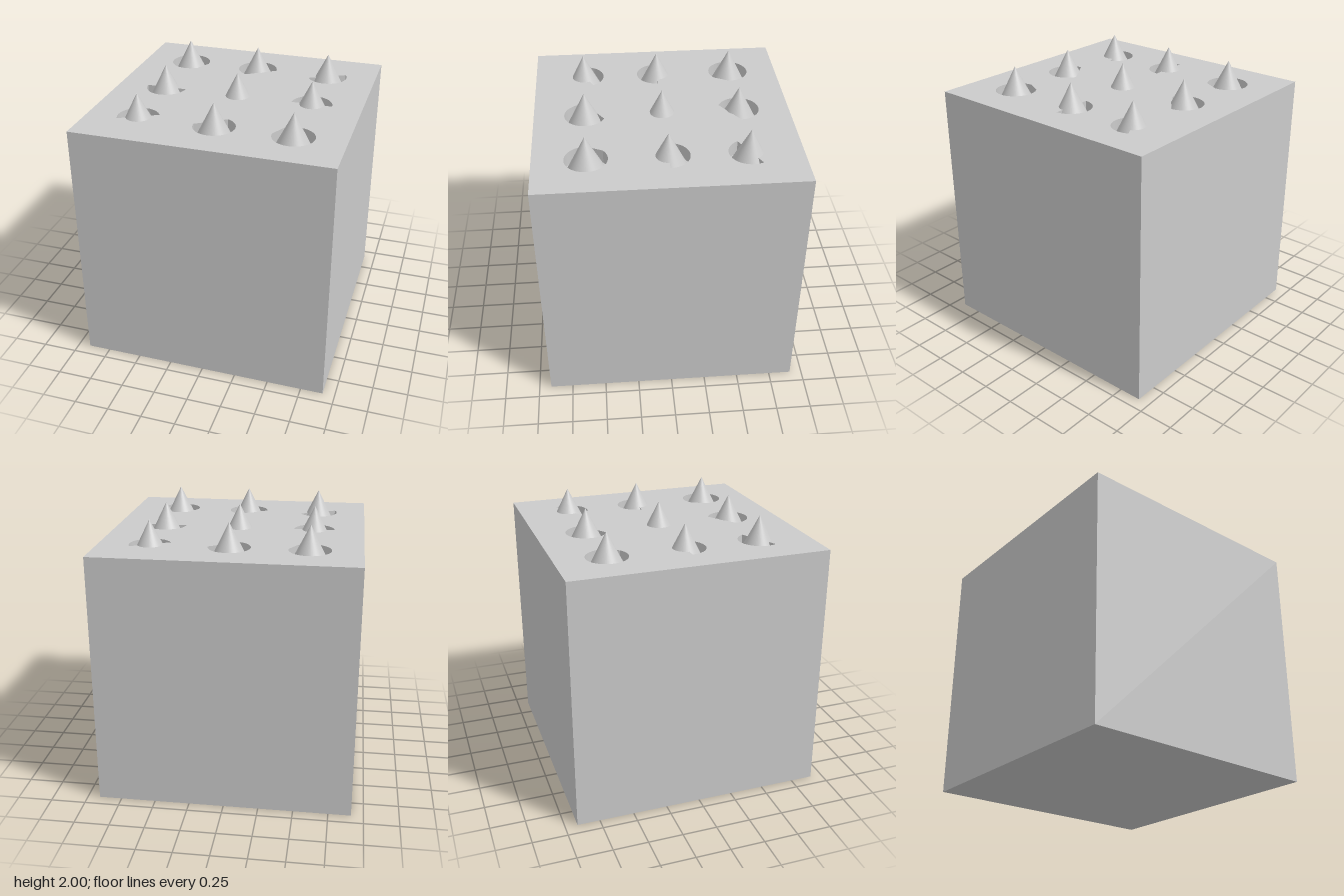
import * as THREE from 'three';

const HALF = 0.9125, TOP = 1.825, FLOOR = 1.726; // block half width, top face, pocket floor
const PITCH = 0.55, POCKET_R = 0.147, SPIKE_R = 0.137;

// Pocket cuts: column, row, direction of the cut side in degrees (x towards z), its distance.
// The other four pockets repeat these, turned half way round the centre.
const CUTS = [
  [-1, -1, 27.6, 0.134],
  [0, -1, 56, 0.08],
  [1, -1, -117.4, 0],
  [-1, 0, -90, 0],
];

// Outline (x, z) of a circle with one side cut off straight
function pocketOutline(cx, cz, deg, dist) {
  const a = THREE.MathUtils.degToRad(deg), h = Math.acos(dist / POCKET_R);
  const n = 48, pts = [];
  for (let i = 0; i <= n; i++) {
    const t = a + h + (i / n) * 2 * (Math.PI - h);
    pts.push(new THREE.Vector2(cx + POCKET_R * Math.cos(t), cz + POCKET_R * Math.sin(t)));
  }
  return pts;
}

// Lays a flat shape (x, z) on a level facing up
const toShapePoints = (pts) => pts.map((p) => new THREE.Vector2(p.x, -p.y));
function flat(shape, y) {
  return new THREE.ShapeGeometry(shape).rotateX(-Math.PI / 2).translate(0, y, 0);
}

// Upright wall following a closed outline
function wall(pts) {
  const pos = [];
  pts.forEach((p, i) => {
    const q = pts[(i + 1) % pts.length];
    pos.push(p.x, FLOOR, p.y, q.x, FLOOR, q.y, q.x, TOP, q.y);
    pos.push(p.x, FLOOR, p.y, q.x, TOP, q.y, p.x, TOP, p.y);
  });
  const g = new THREE.BufferGeometry();
  g.setAttribute('position', new THREE.Float32BufferAttribute(pos, 3));
  g.computeVertexNormals();
  return g;
}

export function createModel() {
  const model = new THREE.Group();
  model.name = 'spikedBlock';
  const grey = new THREE.MeshStandardMaterial({ color: 0xcccccc, side: THREE.DoubleSide });
  const add = (name, geometry) => {
    const mesh = new THREE.Mesh(geometry, grey);
    mesh.name = name;
    model.add(mesh);
    return mesh;
  };

  // Block sides and bottom: a box without its top face
  const box = new THREE.BoxGeometry(2 * HALF, TOP, 2 * HALF).translate(0, TOP / 2, 0);
  const index = Array.from(box.index.array);
  index.splice(12, 6);
  box.setIndex(index);
  box.clearGroups();
  add('blockSides', box);

  // Top face pierced by the pockets
  const top = new THREE.Shape([[-1, -1], [1, -1], [1, 1], [-1, 1]]
    .map(([x, y]) => new THREE.Vector2(x * HALF, y * HALF)));
  for (const [col, row, deg, dist] of CUTS) {
    for (const s of [1, -1]) {
      const pts = pocketOutline(s * col * PITCH, s * row * PITCH, deg + (s < 0 ? 180 : 0), dist);
      top.holes.push(new THREE.Path(toShapePoints(pts)));
      add('pocketWall', wall(pts));
      add('pocketFloor', flat(new THREE.Shape(toShapePoints(pts)), FLOOR));
    }
  }
  add('blockTop', flat(top, TOP));

  // Three by three spikes standing on the pocket floors
  const spike = new THREE.ConeGeometry(SPIKE_R, 2 - FLOOR, 48, 1, true);
  for (let row = -1; row <= 1; row++) {
    for (let col = -1; col <= 1; col++) {
      add('spike', spike).position.set(col * PITCH, (2 + FLOOR) / 2, row * PITCH);
    }
  }
  return model;
}
